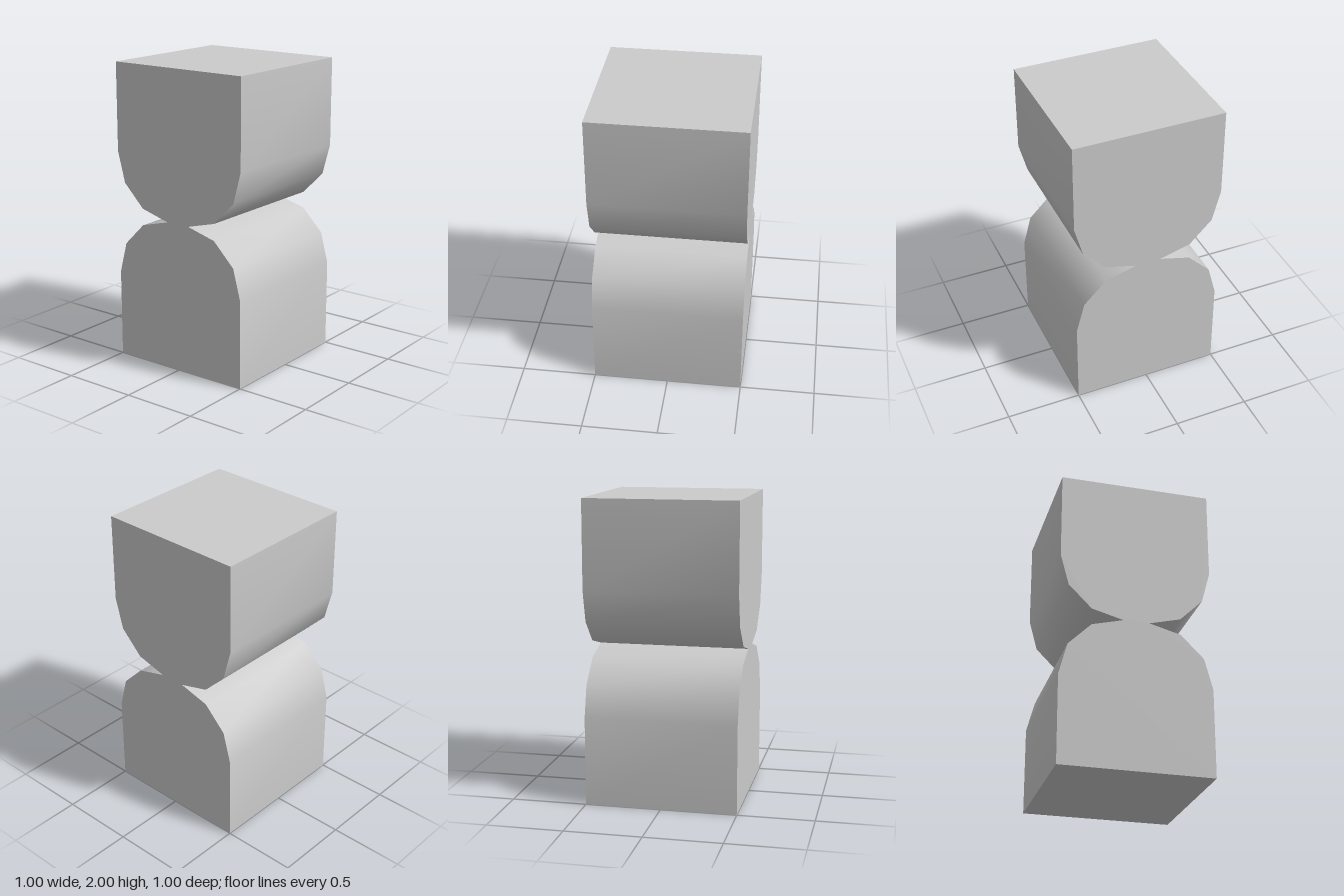
import * as THREE from 'three';
import { toCreasedNormals } from 'three/addons/utils/BufferGeometryUtils.js';

const HALF = 0.5;               // half width and half depth
const NECK = 0.086;             // half depth of the waist
const RADIUS = HALF - NECK;     // rounding towards the waist
const STEPS = 3;                // facets per rounded shoulder

// One side of the outline, from the bottom corner up to the top corner
function sideProfile() {
  const lower = [new THREE.Vector2(HALF, 0)];
  for (let i = 0; i <= STEPS; i++) {
    const a = (i / STEPS) * Math.PI / 2;
    lower.push(new THREE.Vector2(NECK + RADIUS * Math.cos(a), 1 - RADIUS + RADIUS * Math.sin(a)));
  }
  const upper = lower.slice(0, -1).reverse().map(p => new THREE.Vector2(p.x, 2 - p.y));
  return [...lower, ...upper];
}

export function createModel() {
  const group = new THREE.Group();
  group.name = 'waistedBlock';

  // Mirror the side profile to close the outline
  const right = sideProfile();
  const left = right.map(p => new THREE.Vector2(-p.x, p.y)).reverse();
  const outline = new THREE.Shape([...right, ...left]);

  // Sweep the outline across the width
  const swept = new THREE.ExtrudeGeometry(outline, { depth: 2 * HALF, bevelEnabled: false });
  swept.translate(0, 0, -HALF);
  swept.rotateY(-Math.PI / 2);

  // Smooth the shoulders, keep the outer edges and the waist crease sharp
  const block = new THREE.Mesh(
    toCreasedNormals(swept, THREE.MathUtils.degToRad(40)),
    new THREE.MeshStandardMaterial({ color: 0xcccccc })
  );
  block.name = 'pinchedBlock';
  group.add(block);
  return group;
}
